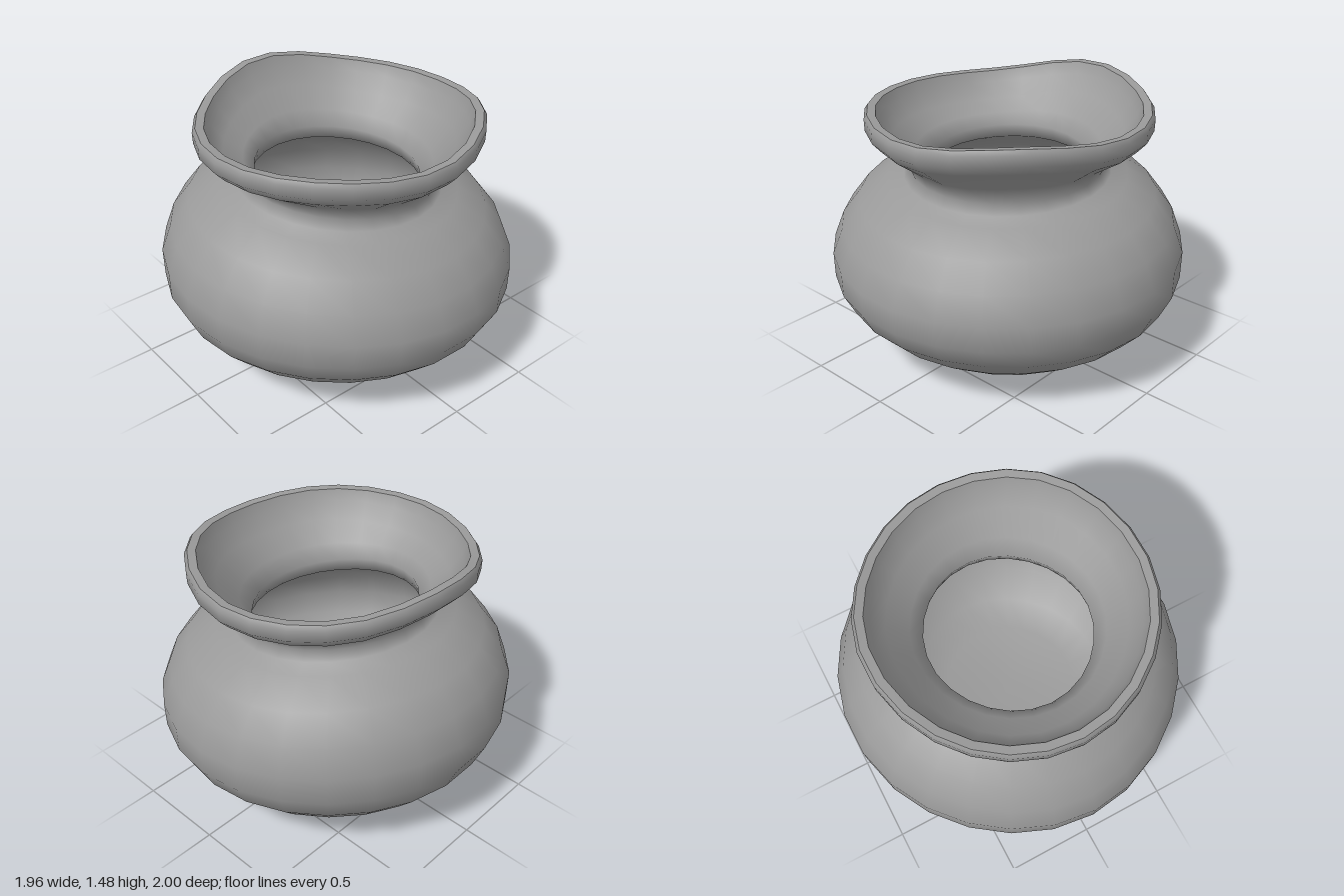
import * as THREE from 'three';
import { mergeVertices } from 'three/addons/utils/BufferGeometryUtils.js';

const SEGMENTS = 26;
const { smoothstep, lerp } = THREE.MathUtils;

// Radius and height of each shell; separate shells keep crisp edges between them
const SHELLS = {
  base: [[0, 0.012], [0.435, 0.012]],
  outerWall: [
    [0.435, 0.012], [0.64, 0.1], [0.805, 0.22], [0.92, 0.345], [0.985, 0.48],
    [0.988, 0.63], [0.93, 0.78], [0.825, 0.915], [0.665, 1.015], [0.575, 1.042],
    [0.545, 1.095], [0.575, 1.165], [0.73, 1.27], [0.78, 1.325], [0.782, 1.385], [0.765, 1.409],
  ],
  lip: [[0.765, 1.409], [0.72, 1.405]],
  innerWall: [
    [0.72, 1.405], [0.695, 1.34], [0.63, 1.25], [0.52, 1.15], [0.458, 1.07],
    [0.48, 0.99], [0.6, 0.94], [0.75, 0.84], [0.85, 0.72], [0.89, 0.58],
    [0.86, 0.43], [0.74, 0.26], [0.58, 0.15], [0.4, 0.09], [0, 0.09],
  ],
};

// Height of the uneven lip every 45 degrees, from +x towards +z
const RIM = [1.375, 1.393, 1.385, 1.39, 1.48, 1.412, 1.388, 1.42];
const RIM_MEAN = 1.409;
const rimCurve = new THREE.CatmullRomCurve3(
  RIM.map((h, i) => new THREE.Vector3(i, h, 0)), true, 'catmullrom');

function rimOffset(angle) {
  const t = (angle / (Math.PI * 2) + 1) % 1;
  return rimCurve.getPoint(t).y - RIM_MEAN;
}

// Lean the body slightly and let the lip wave, like hand-thrown clay
function shape(geometry) {
  const pos = geometry.attributes.position;
  for (let i = 0; i < pos.count; i++) {
    const x = pos.getX(i), y = pos.getY(i), z = pos.getZ(i);
    const angle = Math.atan2(z, x);
    const lean = -0.05 * smoothstep(y, 0.15, 0.8) * Math.cos(angle)
      + (0.012 + 0.01 * smoothstep(y, 0.1, 0.6)) * Math.sin(angle);
    const wave = smoothstep(y, 1.08, 1.28);
    const dy = lerp(lean * Math.min(1, Math.hypot(x, z) / 0.43), rimOffset(angle), wave);
    const squash = 1 - 0.013 * Math.sin(2 * angle) ** 2;
    pos.setXYZ(i, x * squash, y + dy, z * squash * 1.012 - 0.013 * wave);
  }
}

function makeShell(name, profile, material) {
  const points = profile.map(([r, y]) => new THREE.Vector2(r, y));
  let geometry = new THREE.LatheGeometry(points, SEGMENTS);
  geometry.deleteAttribute('uv');
  geometry.deleteAttribute('normal');
  geometry = mergeVertices(geometry, 1e-4);
  shape(geometry);
  geometry.computeVertexNormals();
  const mesh = new THREE.Mesh(geometry, material);
  mesh.name = name;
  return mesh;
}

export function createModel() {
  const group = new THREE.Group();
  group.name = 'pot';
  const clay = new THREE.MeshStandardMaterial({ color: 0x999999 });
  for (const [name, profile] of Object.entries(SHELLS)) {
    group.add(makeShell(name, profile, clay));
  }
  return group;
}
